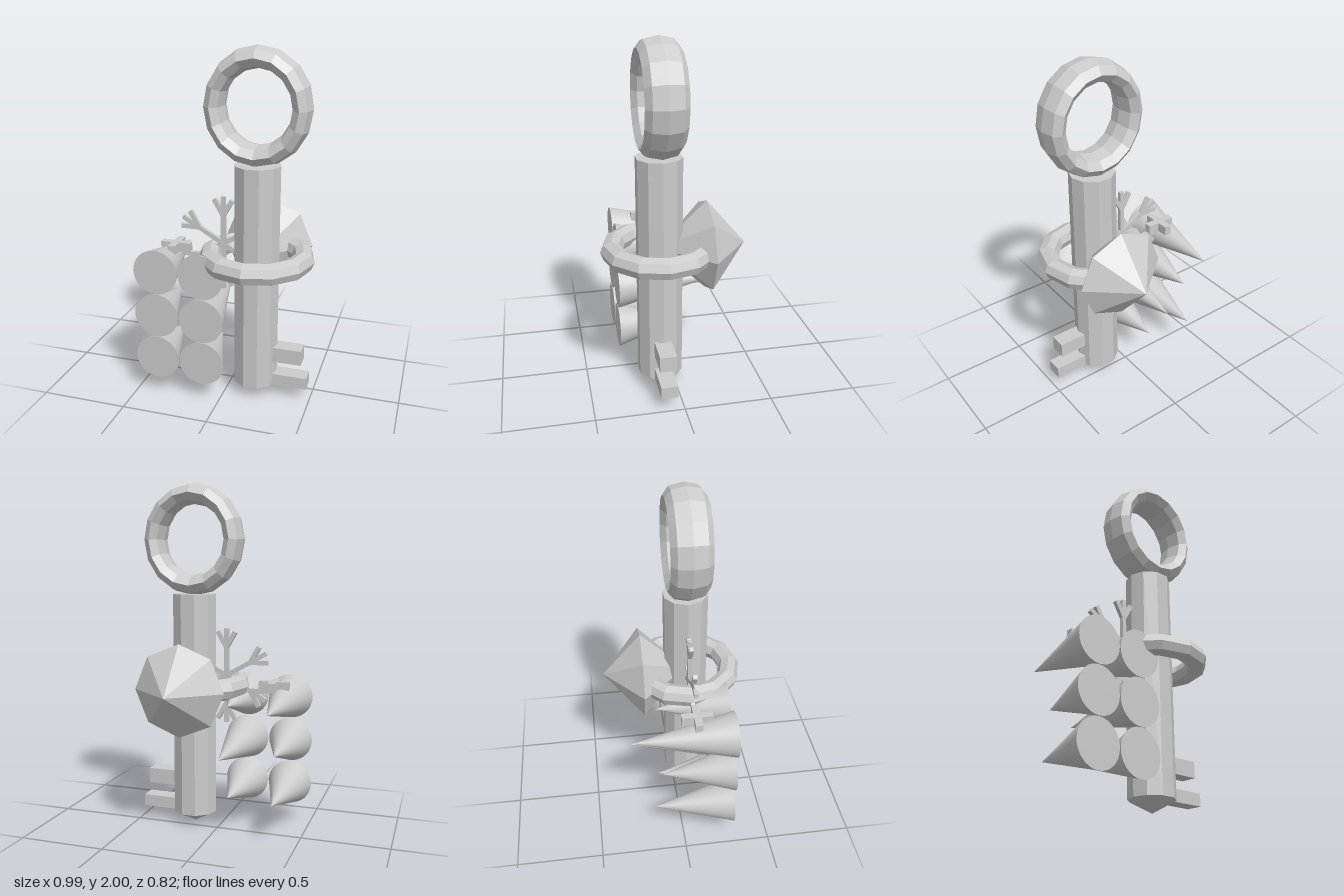
import * as THREE from 'three';

const flat = new THREE.MeshStandardMaterial({ color: 0xcccccc, flatShading: true });
const smooth = new THREE.MeshStandardMaterial({ color: 0xcccccc });
const CX = 0.165, CZ = 0.08; // axis of the key

function add(parent, name, geo, x = 0, y = 0, z = 0, mat = flat) {
  const m = new THREE.Mesh(geo, mat);
  m.name = name;
  m.position.set(x, y, z);
  parent.add(m);
  return m;
}

const lathe = (pts, n, start = 0) =>
  new THREE.LatheGeometry(pts.map(p => new THREE.Vector2(...p)), n, start);

// Key: pointed shaft, oval bow and two teeth
function makeKey() {
  const key = new THREE.Group();
  key.name = 'key';
  const shaft = lathe([[0, 0], [0.13, 0.07], [0.13, 1.37], [0, 1.37]], 10, Math.PI / 2);
  add(key, 'shaft', shaft, CX, 0, CZ);
  const bow = add(key, 'bow', new THREE.TorusGeometry(0.24, 0.055, 8, 16), CX, 1.68, CZ);
  bow.scale.set(1, 1.083, 2.05);
  add(key, 'lowerTooth', new THREE.BoxGeometry(0.28, 0.07, 0.095), 0.34, 0.105, 0.083);
  add(key, 'upperTooth', new THREE.BoxGeometry(0.245, 0.09, 0.095), 0.3225, 0.265, 0.083);
  return key;
}

// Finger ring around the shaft with a faceted gem at the back
function makeRing() {
  const ring = new THREE.Group();
  ring.name = 'gemRing';
  ring.position.set(CX, 0.84, CZ);
  const band = add(ring, 'band', new THREE.TorusGeometry(0.268, 0.062, 8, 12));
  band.rotation.x = Math.PI / 2;
  const gem = add(ring, 'gem', lathe([[0, -0.08], [0.085, -0.08 + 0.16 - 0.0], [0.265, 0.265], [0, 0.49]], 8));
  gem.rotation.x = -Math.PI / 2;
  return ring;
}

// Stack of cones lying with their points to the back
function makeCones() {
  const cones = new THREE.Group();
  cones.name = 'cones';
  const columns = [
    { x: -0.367, lengths: [0.46, 0.41, 0.577] },
    { x: -0.1, lengths: [0.41, 0.577, 0.42] },
  ];
  for (const { x, lengths } of columns) {
    lengths.forEach((len, row) => {
      const geo = new THREE.ConeGeometry(0.131, len, 32).rotateX(-Math.PI / 2);
      add(cones, 'cone', geo, x, 0.23 + row * 0.265, 0.29 - len / 2, smooth);
    });
  }
  return cones;
}

// Six-armed snowflake, each arm with two side prongs
function makeSnowflake() {
  const flake = new THREE.Group();
  flake.name = 'snowflake';
  flake.position.set(-0.03, 0.9, CZ);
  const bar = len => new THREE.BoxGeometry(0.026, len, 0.024).translate(0, len / 2, 0);
  for (let i = 0; i < 6; i++) {
    const arm = new THREE.Group();
    arm.name = 'snowflakeArm';
    arm.rotation.z = i * Math.PI / 3;
    add(arm, 'stem', bar(0.275));
    for (const s of [-1, 1]) add(arm, 'prong', bar(0.105), 0, 0.165, 0).rotation.z = s * Math.PI / 6;
    flake.add(arm);
  }
  return flake;
}

// Flat plus-shaped plate lying level
function makePlus() {
  const a = 0.088, b = 0.021;
  const corners = [[a, -b], [a, b], [b, b], [b, a], [-b, a], [-b, b],
    [-a, b], [-a, -b], [-b, -b], [-b, -a], [b, -a], [b, -b]];
  const shape = new THREE.Shape(corners.map(p => new THREE.Vector2(...p)));
  return new THREE.ExtrudeGeometry(shape, { depth: 0.055, bevelEnabled: false }).rotateX(-Math.PI / 2);
}

export function createModel() {
  const model = new THREE.Group();
  model.name = 'keyCharm';
  model.add(makeKey(), makeRing(), makeCones(), makeSnowflake());
  add(model, 'plusPlate', makePlus(), -0.315, 0.825, CZ);
  return model;
}
